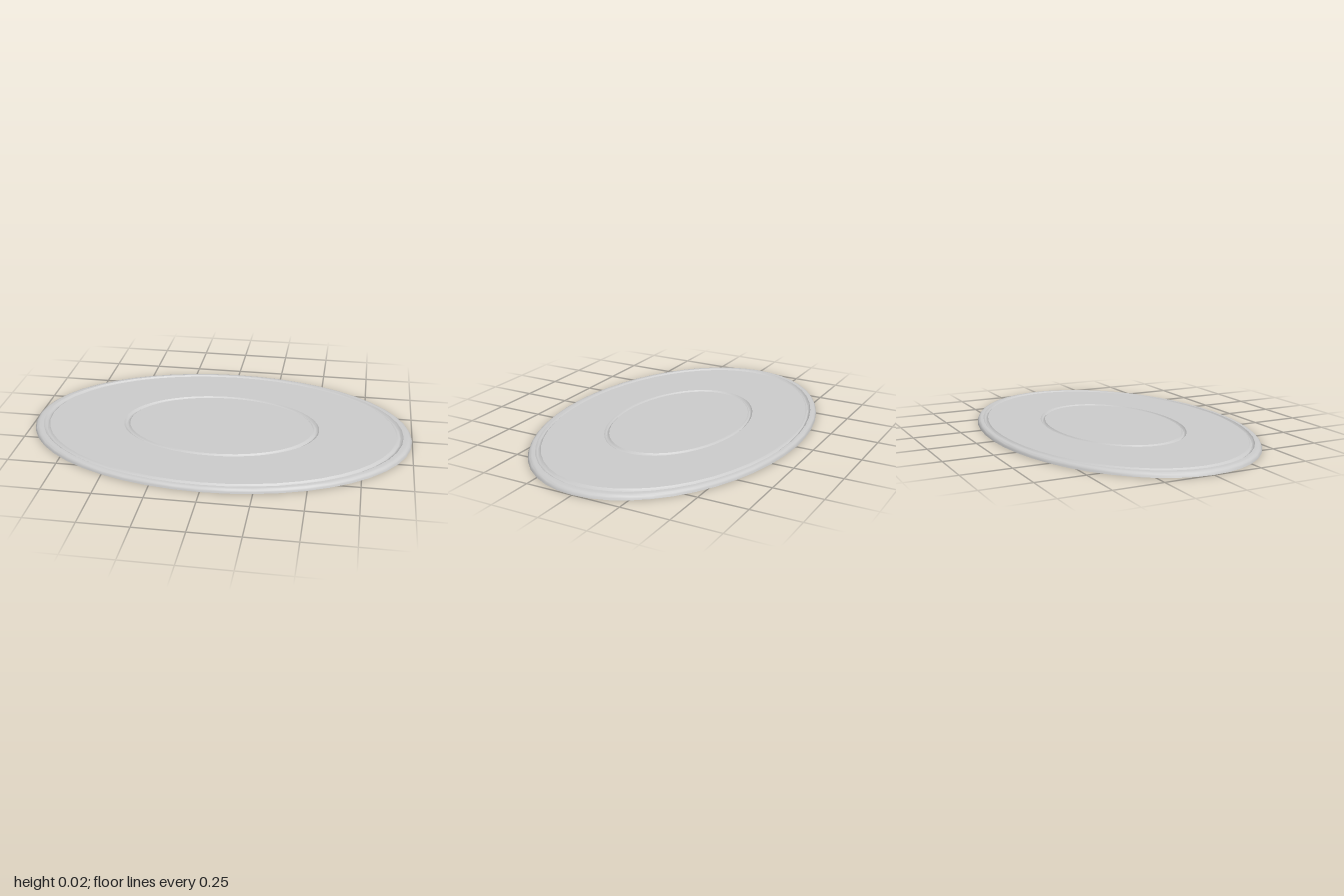
import * as THREE from 'three';
import { toCreasedNormals } from 'three/addons/utils/BufferGeometryUtils.js';

const DEPTH_RATIO = 0.66; // oval depth relative to width
const SEGMENTS = 48;
const TOP = 0.022;

// Rounded channel cut into the top face, listed from outside to inside
function groove(outer, inner, depth) {
  const points = [];
  for (let i = 0; i <= 6; i++) {
    const t = i / 6;
    points.push([outer + (inner - outer) * t, TOP - depth * Math.sin(Math.PI * t)]);
  }
  return points;
}

export function createModel() {
  const group = new THREE.Group();
  group.name = 'ovalPlate';

  // Cross-section: flat base, rounded edge, rim groove, flat field, centre groove
  const profile = [
    [0, 0], [1, 0], [0.998, 0.007], [0.992, 0.015], [0.984, 0.02], [0.974, TOP],
    ...groove(0.955, 0.92, 0.01),
    ...groove(0.52, 0.487, 0.01),
    [0, TOP],
  ].map(([r, y]) => new THREE.Vector2(r, y));

  // Round lathe squeezed into an oval
  const geometry = new THREE.LatheGeometry(profile, SEGMENTS);
  geometry.scale(1, 1, DEPTH_RATIO);

  const plate = new THREE.Mesh(
    toCreasedNormals(geometry, 0.5),
    new THREE.MeshStandardMaterial({ color: 0xcccccc })
  );
  plate.name = 'plate';
  group.add(plate);
  return group;
}
